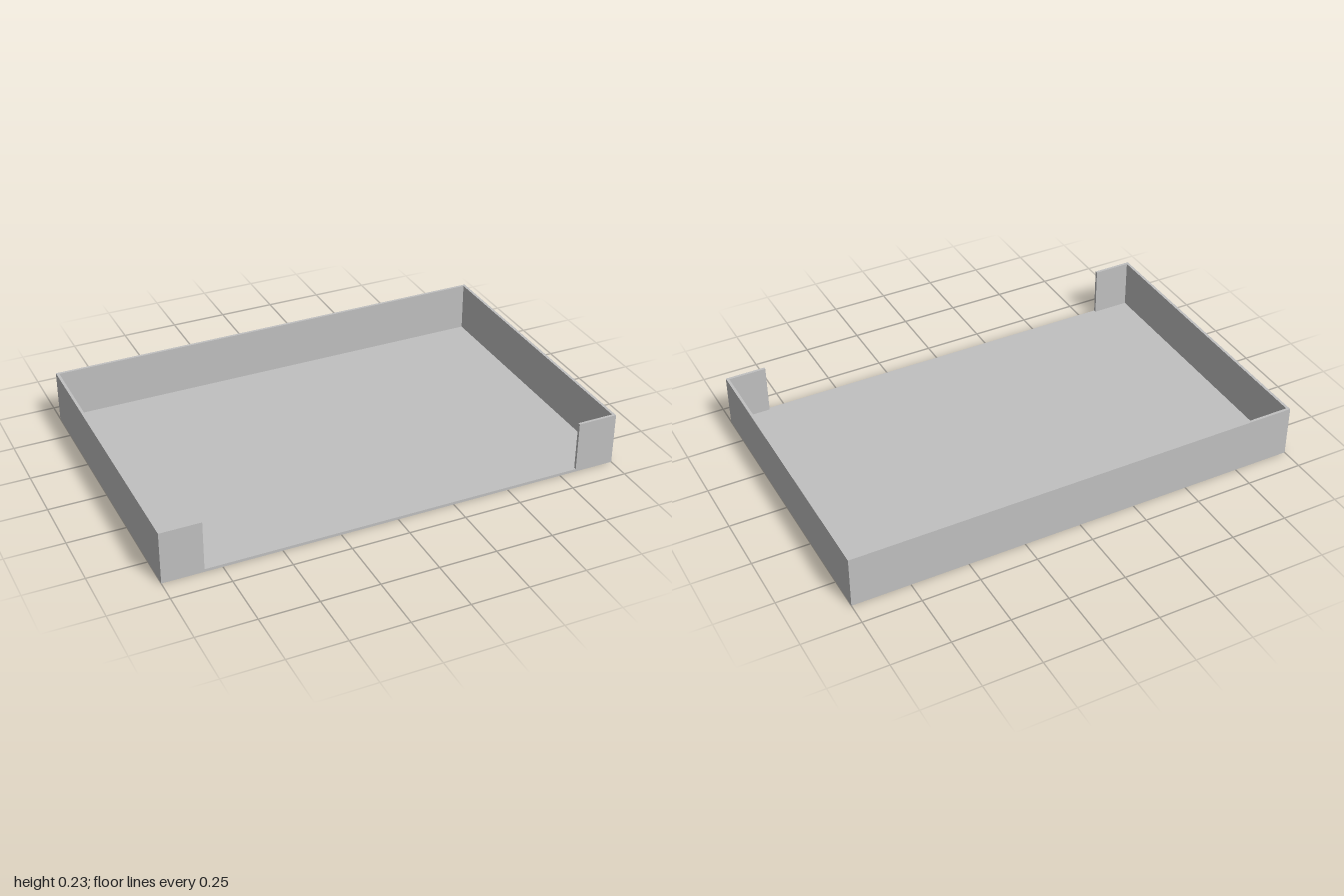
import * as THREE from 'three';

const W = 1, D = 0.65, H = 0.23; // half width, half depth, height
const T = 0.012;                 // sheet thickness
const OPEN = 0.825;              // half width of the front opening

export function createModel() {
  const tray = new THREE.Group();
  tray.name = 'openFrontTray';
  const grey = new THREE.MeshStandardMaterial({ color: 0xc0c0c0 });
  grey.name = 'plain grey';

  // Flat base plate
  const floor = new THREE.Mesh(new THREE.BoxGeometry(2 * W, T, 2 * D), grey);
  floor.name = 'floor';
  floor.position.y = T / 2;
  tray.add(floor);

  // One continuous wall: back, sides and the two short front returns.
  // The plan is drawn with shape y = -z, then stood upright.
  const half = [[OPEN, -D], [W, -D], [W, D]];
  const inner = [[W - T, D - T], [W - T, -D + T], [OPEN, -D + T]];
  const mirror = (pts) => pts.map(([x, y]) => [-x, y]).reverse();
  const plan = [...half, ...mirror(half), ...mirror(inner), ...inner];
  const geometry = new THREE.ExtrudeGeometry(
    new THREE.Shape(plan.map(([x, y]) => new THREE.Vector2(x, y))),
    { depth: H - T, bevelEnabled: false }
  );
  geometry.rotateX(-Math.PI / 2);
  const walls = new THREE.Mesh(geometry, grey);
  walls.name = 'walls';
  walls.position.y = T;
  tray.add(walls);

  return tray;
}
